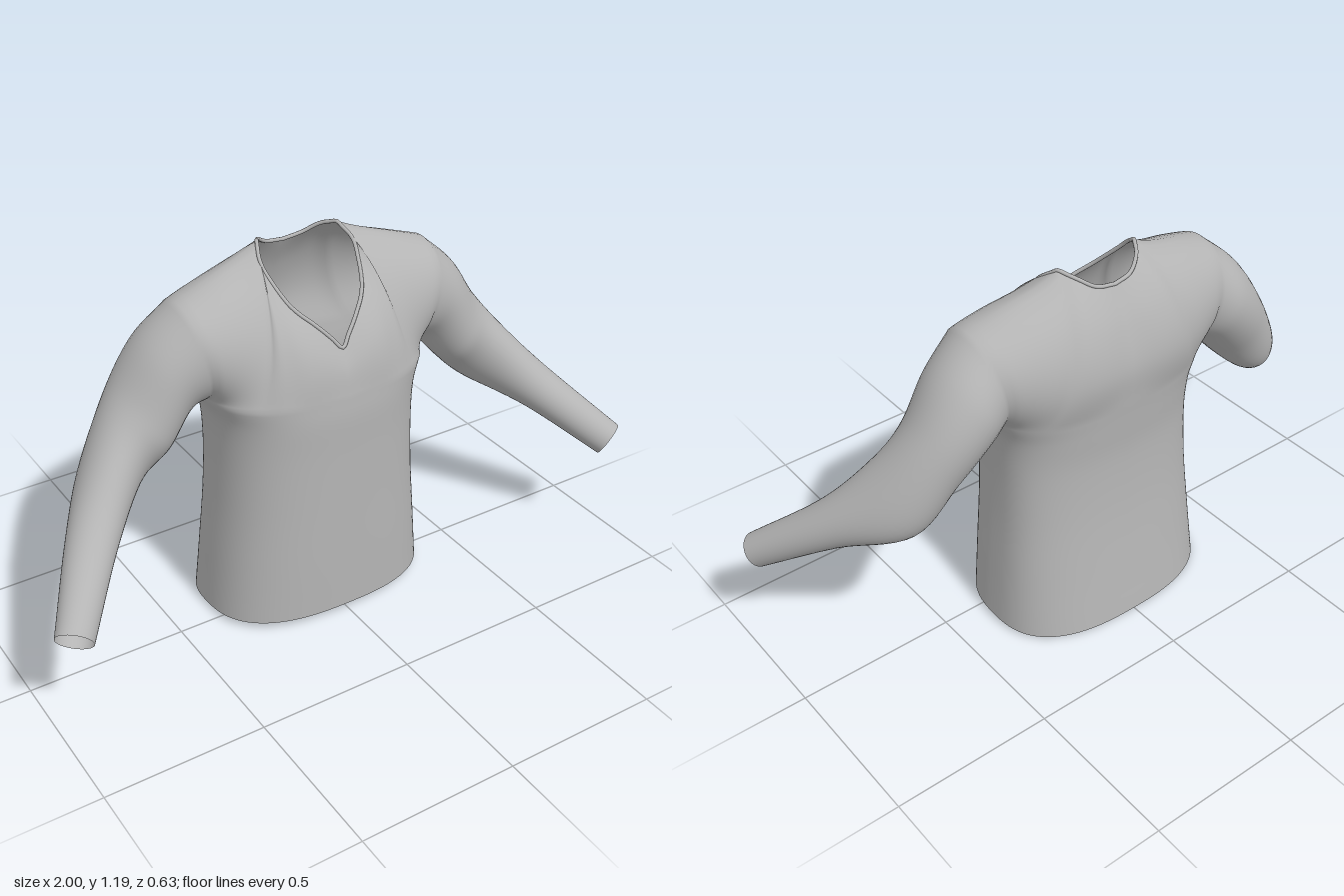
import * as THREE from 'three';
import { mergeGeometries, mergeVertices } from 'three/addons/utils/BufferGeometryUtils.js';

const SIDE_Z = -0.075; // depth of the side seam

// Body sections: height, half width, front z, back z
const body = [
  [0.016, 0.368, 0.185, -0.315], [0.2, 0.352, 0.185, -0.29], [0.4, 0.335, 0.183, -0.268],
  [0.58, 0.328, 0.182, -0.26], [0.7, 0.334, 0.183, -0.268], [0.775, 0.36, 0.178, -0.275],
];
// Centre lines of chest and back, from armpit level to neckline
const centre = {
  front: [[0, 0.775, 0.178], [0, 0.85, 0.163], [0, 0.915, 0.135]],
  back: [[0, 0.775, -0.275], [0, 0.9, -0.28], [0, 1.02, -0.247], [0, 1.13, -0.19]],
};
// Neckline from the middle to the shoulder seam
const neck = {
  front: [[0, 0.915, 0.135], [0.065, 0.985, 0.1], [0.12, 1.04, 0.05], [0.15, 1.11, -0.02],
    [0.155, 1.15, -0.06], [0.135, 1.185, -0.11]],
  back: [[0, 1.13, -0.19], [0.06, 1.14, -0.183], [0.105, 1.168, -0.155], [0.135, 1.185, -0.11]],
};
const shoulder = [[0.135, 1.185, -0.11], [0.2, 1.157, -0.105], [0.3, 1.125, -0.09], [0.42, 1.085, -0.075]];
// Sleeve rings: centre, half-height vector, half-depth vector
const sleeve = [
  [0.39, 0.93, -0.075, 0.03, 0.155, 0, 0, 0, 0.14],
  [0.47, 0.867, -0.09, 0.06, 0.117, 0, 0, 0, 0.14],
  [0.56, 0.747, -0.08, 0.065, 0.097, 0, -0.015, 0, 0.125],
  [0.67, 0.622, -0.045, 0.055, 0.085, 0.04, -0.05, 0.03, 0.09],
  [0.8, 0.51, 0.09, 0.035, 0.06, 0.018, -0.05, 0.015, 0.055],
  [0.952, 0.362, 0.28, 0.029, 0.046, 0.012, -0.038, 0.011, 0.036],
];

// Catmull-Rom interpolation through rows of numbers
function spline(rows, t) {
  const n = rows.length - 1;
  const i = Math.min(Math.floor(t * n), n - 1), f = t * n - i;
  const b = rows[i], c = rows[i + 1];
  return b.map((p, k) => {
    const a = i > 0 ? rows[i - 1][k] : 2 * p - c[k];
    const d = i + 2 <= n ? rows[i + 2][k] : 2 * c[k] - p;
    return p + 0.5 * f * (c[k] - a + f * (2 * a - 5 * p + 4 * c[k] - d + f * (3 * (p - c[k]) + d - a)));
  });
}

// Point on the half body below the armpits; s runs from the middle to the side seam
function lowerBody(face, s, v) {
  const [y, w, zf, zb] = spline(body, v);
  const angle = s * Math.PI / 2, e = 2 / 2.6;
  const z = SIDE_Z + ((face === 'front' ? zf : zb) - SIDE_Z) * Math.cos(angle) ** e;
  return [w * Math.sin(angle) ** e, y + 0.05 * z * (1 - v) ** 2, z];
}

// Point on the sleeve; phi runs from underarm over the front to the top
function sleevePoint(v, phi) {
  const r = spline(sleeve, v);
  return [0, 1, 2].map((k) => r[k] - r[k + 3] * Math.cos(phi) + r[k + 6] * Math.sin(phi));
}

const topEdge = (face, s) => (s <= 0.5 ? spline(neck[face], s * 2) : spline(shoulder, s * 2 - 1));

// Chest or upper back, blended between armpit line, centre line, neckline and armhole
function upperBody(face, s, t) {
  const armhole = (q) => sleevePoint(0, (face === 'front' ? 1 : -1) * Math.PI * q);
  const bottom = lowerBody(face, s, 1), top = topEdge(face, s);
  const left = spline(centre[face], t), right = armhole(t);
  const p00 = centre[face][0], p01 = topEdge(face, 0), p10 = armhole(0), p11 = armhole(1);
  return bottom.map((b, k) => (1 - t) * b + t * top[k] + (1 - s) * left[k] + s * right[k]
    - (1 - s) * ((1 - t) * p00[k] + t * p01[k]) - s * ((1 - t) * p10[k] + t * p11[k]));
}

// Grid surface from f(u, v); mirror is 1 or -1 along x, flip reverses the facing
function grid(f, nu, nv, mirror, flip) {
  const pos = [], index = [];
  for (let j = 0; j <= nv; j++) {
    for (let i = 0; i <= nu; i++) {
      const [x, y, z] = f(i / nu, j / nv);
      pos.push(x * mirror, y, z);
    }
  }
  for (let j = 0; j < nv; j++) {
    for (let i = 0; i < nu; i++) {
      const a = j * (nu + 1) + i, b = a + 1, d = a + nu + 1, c = d + 1;
      if (flip !== (mirror < 0)) index.push(a, c, b, a, d, c);
      else index.push(a, b, c, a, c, d);
    }
  }
  const g = new THREE.BufferGeometry();
  g.setAttribute('position', new THREE.Float32BufferAttribute(pos, 3));
  g.setIndex(index);
  return g;
}

export function createModel() {
  const group = new THREE.Group();
  group.name = 'shirt';
  const cloth = new THREE.MeshStandardMaterial({ color: 0xb4b4b4, side: THREE.DoubleSide });
  cloth.name = 'grey cloth';

  // Torso panels
  const torso = [];
  for (const mirror of [1, -1]) {
    for (const face of ['front', 'back']) {
      torso.push(grid((s, v) => lowerBody(face, s, v), 24, 28, mirror, face === 'back'));
      torso.push(grid((s, t) => upperBody(face, s, t), 24, 20, mirror, face === 'back'));
    }
  }
  // Sleeves
  const sleeves = [1, -1].map((mirror) =>
    grid((v, q) => sleevePoint(v, q * 2 * Math.PI), 40, 40, mirror, false));

  // Weld all cloth so the shading runs smoothly over the armholes, then split by part
  const whole = mergeVertices(mergeGeometries([mergeGeometries(torso), ...sleeves], true), 1e-4);
  whole.computeVertexNormals();
  ['torso', 'leftSleeve', 'rightSleeve'].forEach((name, i) => {
    const { start, count } = whole.groups[i];
    const part = new THREE.BufferGeometry();
    part.setAttribute('position', whole.attributes.position);
    part.setAttribute('normal', whole.attributes.normal);
    part.setIndex(Array.from(whole.index.array.slice(start, start + count)));
    const mesh = new THREE.Mesh(part, cloth);
    mesh.name = name;
    group.add(mesh);
  });

  // Thin rolled edge round the neckline
  const half = [];
  for (let i = 0; i <= 12; i++) half.push(topEdge('front', i / 24));
  for (let i = 11; i >= 0; i--) half.push(topEdge('back', i / 24));
  const loop = half.map((p) => new THREE.Vector3(...p));
  for (let i = half.length - 2; i > 0; i--) {
    loop.push(new THREE.Vector3(-half[i][0], half[i][1], half[i][2]));
  }
  const edge = new THREE.CatmullRomCurve3(loop, true);
  const band = new THREE.Mesh(new THREE.TubeGeometry(edge, 120, 0.006, 8, true), cloth);
  band.name = 'neckband';
  group.add(band);

  return group;
}
